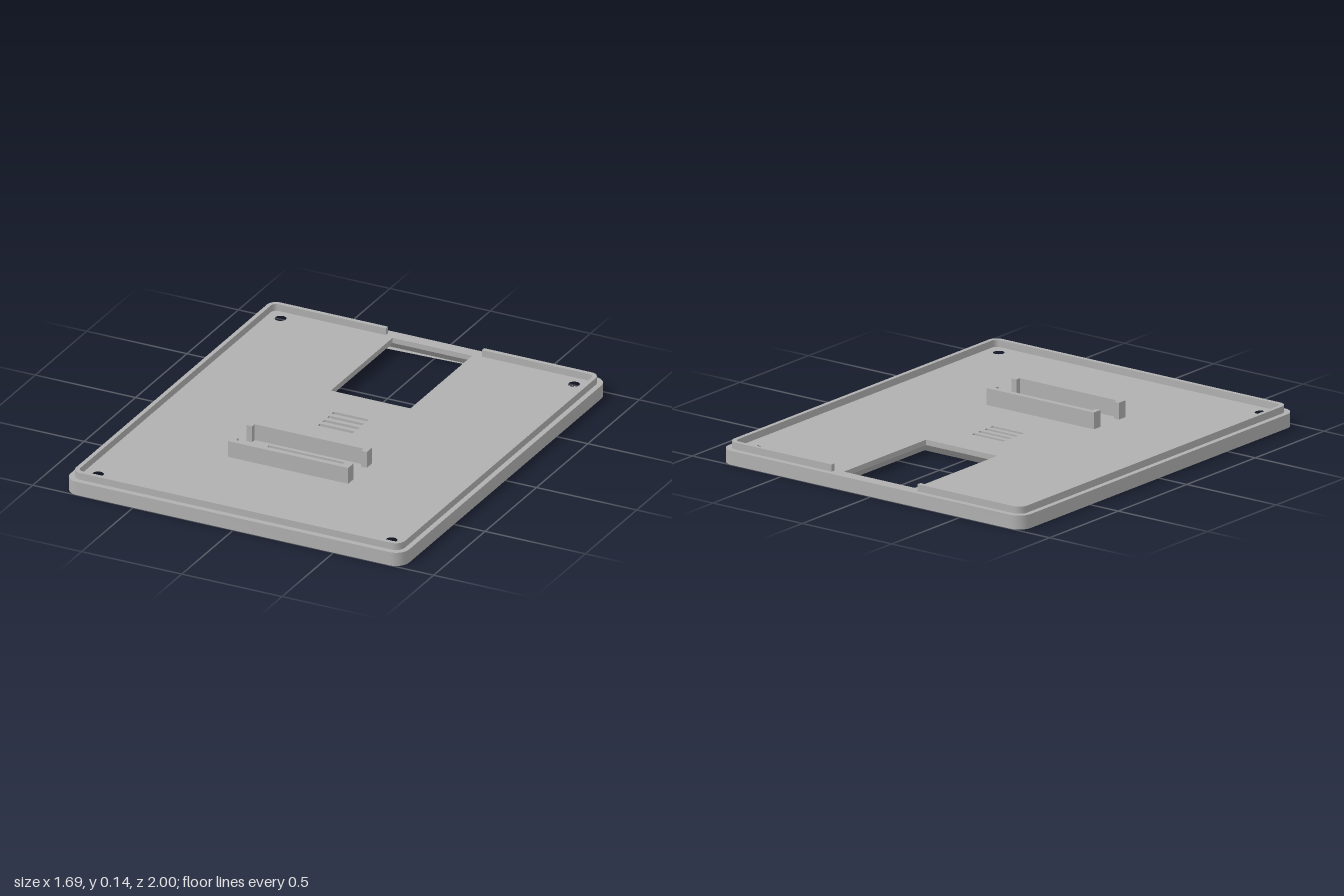
import * as THREE from 'three';
import { toCreasedNormals } from 'three/addons/utils/BufferGeometryUtils.js';

const FLOOR = 0.065;   // top of the base plate
const CHAMFER = 0.04;  // height at which the openings stop flaring

// Points clockwise around a rounded rectangle, starting at the back edge
// (plan coordinates: second axis points to the back, i.e. -z)
function roundedPoints(w, d, r) {
  const pts = [];
  [[1, 1], [1, -1], [-1, -1], [-1, 1]].forEach(([sx, sy], k) => {
    for (let i = 0; i <= 8; i++) {
      const a = Math.PI / 2 * (1 - k - i / 8);
      pts.push(new THREE.Vector2(sx * (w - r) + r * Math.cos(a), sy * (d - r) + r * Math.sin(a)));
    }
  });
  return pts;
}

function rectPath(x0, x1, z0, z1) {
  return new THREE.Path([[x0, -z0], [x0, -z1], [x1, -z1], [x1, -z0]].map(p => new THREE.Vector2(...p)));
}

// Extrude a plan shape upward from y0 to y1
function slab(shape, y0, y1, steps = 1) {
  const g = new THREE.ExtrudeGeometry(shape, { depth: y1 - y0, steps, bevelEnabled: false, curveSegments: 20 });
  return g.rotateX(-Math.PI / 2).translate(0, y0, 0);
}

export function createModel() {
  const group = new THREE.Group();
  const grey = new THREE.MeshStandardMaterial({ color: 0xb0b0b0 });
  grey.name = 'grey plastic';
  const add = (name, geometry) => {
    const mesh = new THREE.Mesh(toCreasedNormals(geometry, 0.5), grey);
    mesh.name = name;
    group.add(mesh);
  };

  // Base plate with its openings
  const plate = new THREE.Shape(roundedPoints(0.845, 1, 0.065));
  const windows = [[-0.2, 0.197, -0.94, -0.34], [-0.19, 0.187, 0.28, 0.418]];
  const flares = windows.map(([x0, x1, z0, z1]) => {
    plate.holes.push(rectPath(x0, x1, z0, z1));
    return { x: (x0 + x1) / 2, z: (z0 + z1) / 2, hx: (x1 - x0) / 2, hz: (z1 - z0) / 2, grow: 0.036 };
  });
  for (let i = 0; i < 4; i++) {
    const z = -0.155 + i * 0.0453;
    plate.holes.push(rectPath(-0.09, 0.085, z, z + 0.021));
  }
  for (const x of [-0.733, 0.731]) for (const z of [-0.89, 0.886]) {
    plate.holes.push(new THREE.Path().absarc(x, -z, 0.026, 0, Math.PI * 2, true));
    flares.push({ x, z, hx: 0.026, hz: 0.026, grow: 0.019 });
  }

  // Flare the windows and screw holes toward the underside
  const base = slab(plate, 0, FLOOR, 2);
  const p = base.attributes.position;
  for (let i = 0; i < p.count; i++) {
    const x = p.getX(i), y = p.getY(i), z = p.getZ(i);
    if (y > 0.001 && y < FLOOR - 0.001) p.setY(i, CHAMFER);
    if (y > 0.001) continue;
    for (const f of flares) {
      if (Math.abs(x - f.x) > f.hx + 1e-4 || Math.abs(z - f.z) > f.hz + 1e-4) continue;
      p.setX(i, f.x + (x - f.x) * (1 + f.grow / f.hx));
      p.setZ(i, f.z + (z - f.z) * (1 + f.grow / f.hz));
    }
  }
  add('basePlate', base);

  // Raised rim, open at the middle of the back edge
  const gap = 0.24;
  const openLoop = (w, d, r) => [
    new THREE.Vector2(gap, d), ...roundedPoints(w, d, r), new THREE.Vector2(-gap, d)];
  const rim = new THREE.Shape([...openLoop(0.82, 0.973, 0.045), ...openLoop(0.8, 0.952, 0.025).reverse()]);
  add('rim', slab(rim, FLOOR, 0.098));

  // Pair of rails with inward hooks around the small window
  for (const [name, outer, s] of [['backRail', 0.235, 1], ['frontRail', 0.467, -1]]) {
    const rail = new THREE.Shape([
      [-0.3, 0], [0.3, 0], [0.3, 0.05], [0.272, 0.05], [0.272, 0.026],
      [-0.272, 0.026], [-0.272, 0.05], [-0.3, 0.05],
    ].map(([x, z]) => new THREE.Vector2(x, -(outer + s * z))));
    add(name, slab(rail, FLOOR, 0.143));
  }
  return group;
}
